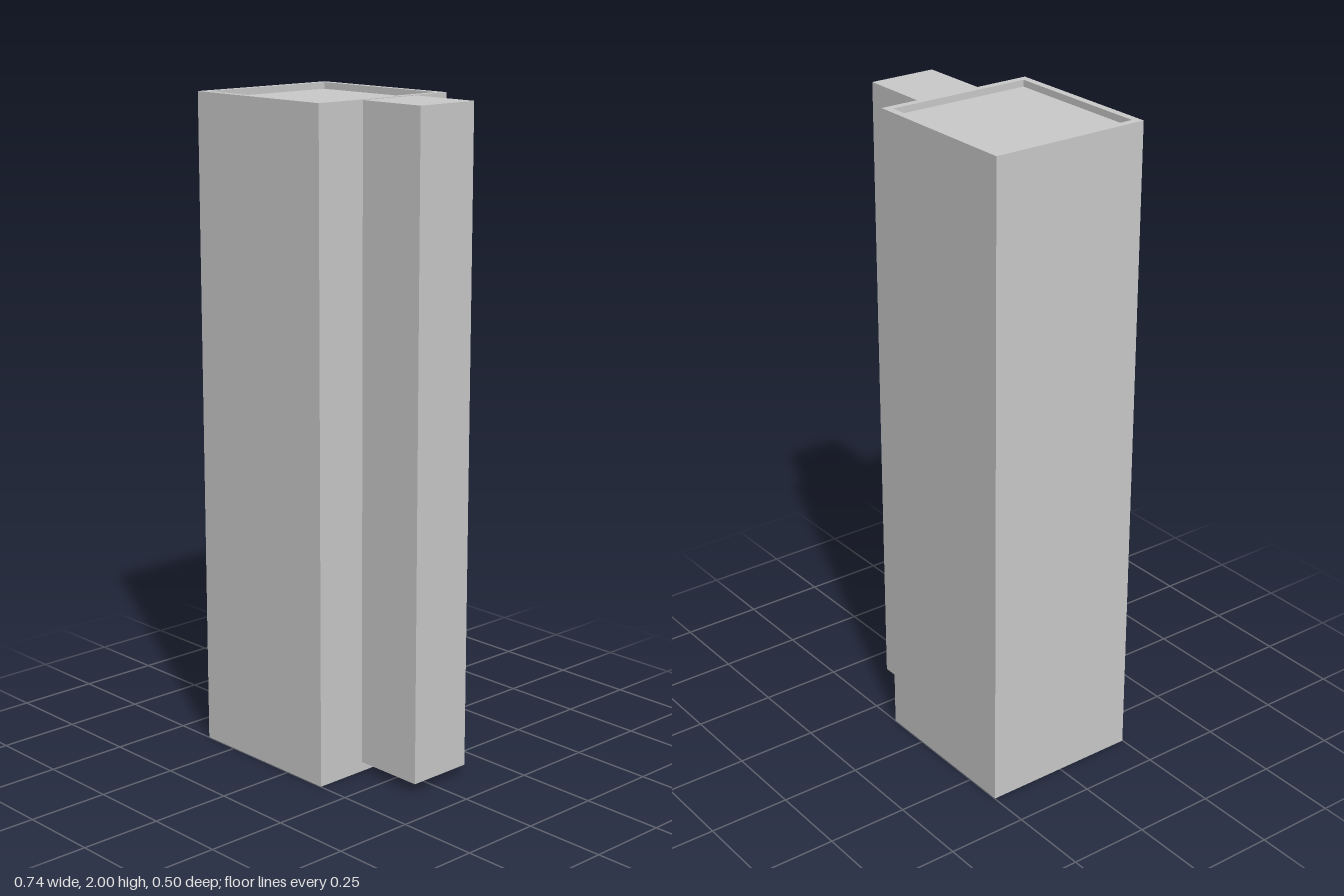
import * as THREE from 'three';

const material = new THREE.MeshStandardMaterial({ color: 0xcccccc, flatShading: true });

// Box given by its minimum and maximum corners
function block(name, [x0, y0, z0], [x1, y1, z1]) {
  const mesh = new THREE.Mesh(new THREE.BoxGeometry(x1 - x0, y1 - y0, z1 - z0), material);
  mesh.position.set((x0 + x1) / 2, (y0 + y1) / 2, (z0 + z1) / 2);
  mesh.name = name;
  return mesh;
}

function rectangle(Path, x0, z0, x1, z1) {
  return new Path([[x0, z0], [x1, z0], [x1, z1], [x0, z1]].map(([x, z]) => new THREE.Vector2(x, z)));
}

export function createModel() {
  const group = new THREE.Group();
  group.name = 'towerBlock';
  const left = -0.371, right = 0.146, half = 0.249, rim = 0.0225;
  const height = 2, recess = 0.02;

  // Hollow outer walls, running up past the roof as a parapet
  const outline = rectangle(THREE.Shape, left, -half, right, half);
  outline.holes.push(rectangle(THREE.Path, left + rim, -half + rim, right - rim, half - rim));
  const wallGeometry = new THREE.ExtrudeGeometry(outline, { depth: height, bevelEnabled: false });
  wallGeometry.rotateX(-Math.PI / 2);
  const walls = new THREE.Mesh(wallGeometry, material);
  walls.name = 'towerWalls';
  group.add(walls);

  // Core closing the base and forming the sunken roof
  group.add(block('sunkenRoof',
    [left + rim, 0, -half + rim], [right - rim, height - recess, half - rim]));

  // Narrow side shaft, off centre and raised above the ground
  group.add(block('sideShaft', [right, 0.03, -0.126], [0.371, 1.998, 0.083]));
  return group;
}
